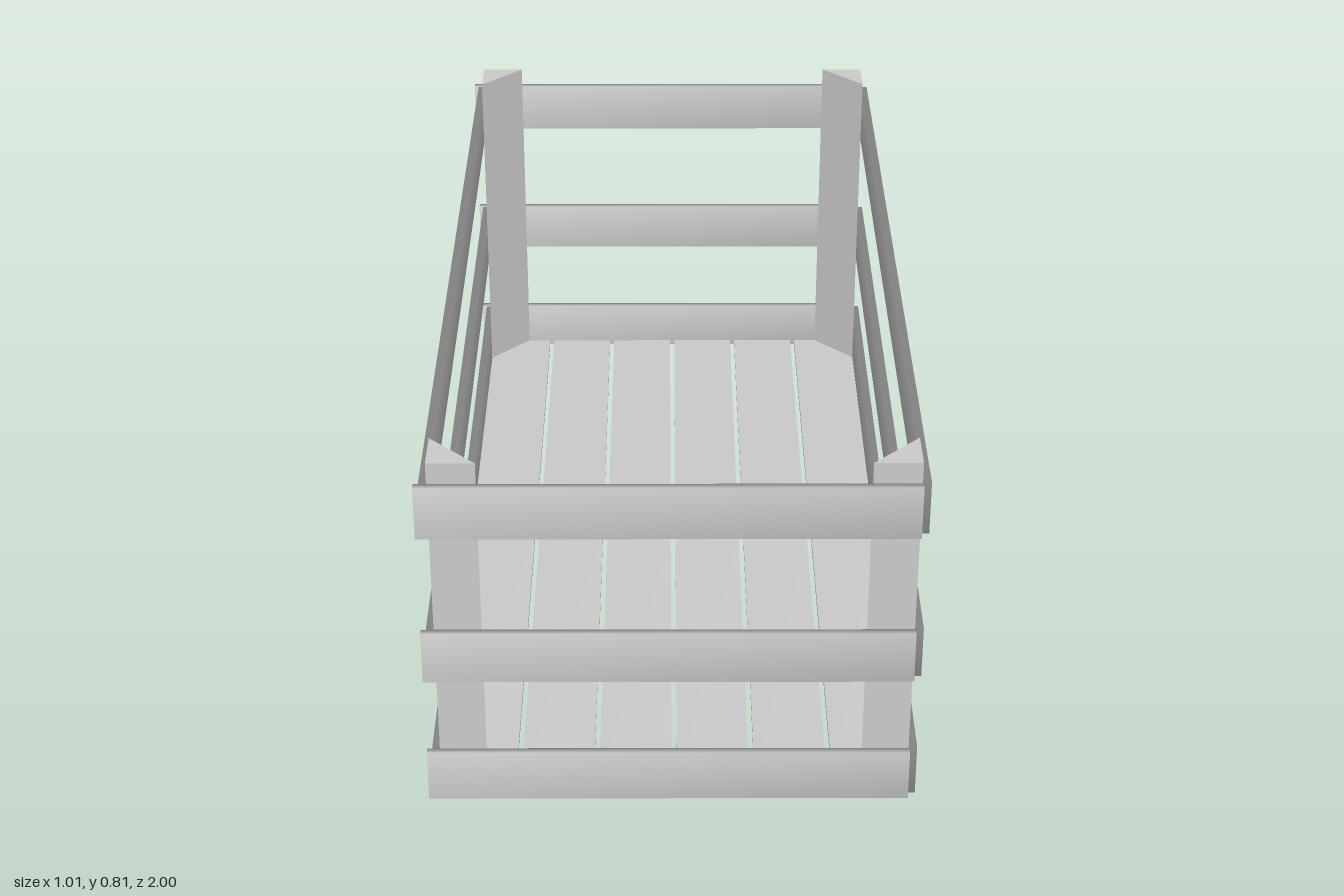
import * as THREE from 'three';
import { mergeVertices } from 'three/addons/utils/BufferGeometryUtils.js';

const THICK = 0.016, SLAT_HEIGHT = 0.118;
const LEFT = -0.482, RIGHT = 0.488, END = 0.984; // inner faces of the walls

const softMaterial = new THREE.MeshStandardMaterial({ color: 0xcccccc });
const flatMaterial = new THREE.MeshStandardMaterial({ color: 0xcccccc, flatShading: true });

// Plank with normals averaged over its shared corners
function plank(name, w, h, d, x, y, z) {
  let geometry = new THREE.BoxGeometry(w, h, d);
  geometry.deleteAttribute('normal');
  geometry.deleteAttribute('uv');
  geometry = mergeVertices(geometry);
  geometry.computeVertexNormals();
  const mesh = new THREE.Mesh(geometry, softMaterial);
  mesh.name = name;
  mesh.position.set(x, y, z);
  return mesh;
}

// Triangular corner post, right angle towards the outer corner
function cornerPost(sx, sz) {
  const size = 0.097, bottom = THICK, top = 0.81;
  const x = sx > 0 ? RIGHT : LEFT, z = sz * END;
  const shape = new THREE.Shape([
    new THREE.Vector2(x, -z),
    new THREE.Vector2(x - sx * size, -z),
    new THREE.Vector2(x, -(z - sz * size)),
  ]);
  const geometry = new THREE.ExtrudeGeometry(shape, { depth: top - bottom, bevelEnabled: false });
  geometry.rotateX(-Math.PI / 2).translate(0, bottom, 0);
  const mesh = new THREE.Mesh(geometry, flatMaterial);
  mesh.name = 'cornerPost';
  return mesh;
}

export function createModel() {
  const crate = new THREE.Group();
  crate.name = 'slattedCrate';

  // Floor boards
  const floor = new THREE.Group();
  floor.name = 'floor';
  for (let i = 0; i < 6; i++) {
    floor.add(plank('floorBoard', 0.152, THICK, 2 * END, 0.003 + (i - 2.5) * 0.1635, THICK / 2, 0));
  }
  crate.add(floor);

  // Three rows of wall slats; end slats overhang on one side
  for (const bottom of [0.004, 0.301, 0.645]) {
    const y = bottom + SLAT_HEIGHT / 2;
    for (const s of [-1, 1]) {
      crate.add(plank(s > 0 ? 'frontSlat' : 'backSlat', 0.998, SLAT_HEIGHT, THICK, -0.009, y, s * (END + THICK / 2)));
      const x = s > 0 ? RIGHT + THICK / 2 + 0.002 : LEFT - THICK / 2;
      crate.add(plank(s > 0 ? 'leftSlat' : 'rightSlat', THICK, SLAT_HEIGHT, 2 * END - 0.006, x, y, 0));
    }
  }

  // Corner posts
  for (const sx of [-1, 1]) for (const sz of [-1, 1]) crate.add(cornerPost(sx, sz));

  return crate;
}
